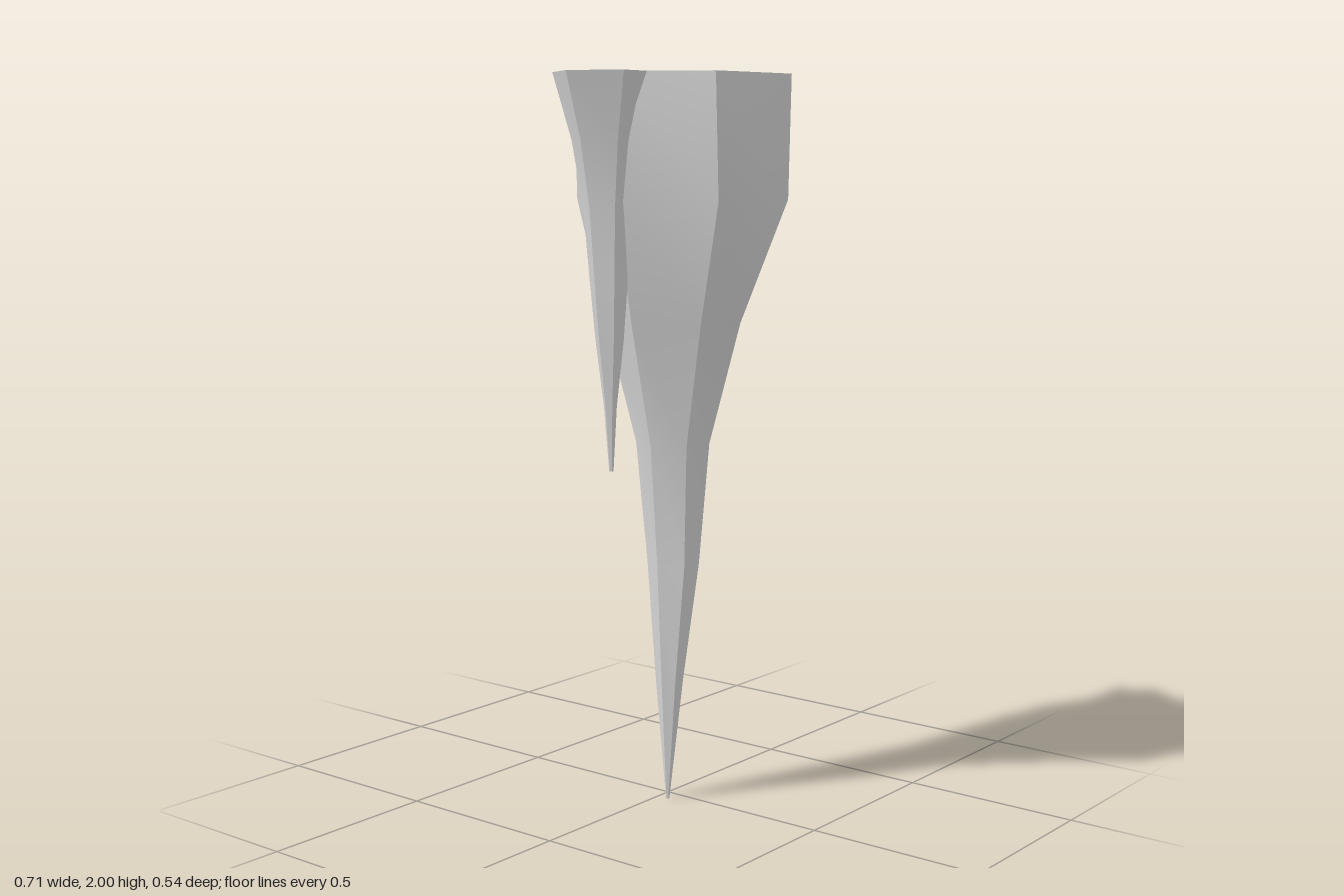
import * as THREE from 'three';
import { toCreasedNormals } from 'three/addons/utils/BufferGeometryUtils.js';

const stone = new THREE.MeshStandardMaterial({ color: 0xd6d6d6 });
stone.name = 'pale grey stone';

// Joins six-sided rings, top to bottom, with a flat cap at each end.
function spike(name, rings) {
  const pos = [];
  const tri = (...pts) => pts.forEach((p) => pos.push(...p));
  const middle = (ring) => [0, 1, 2].map((k) => ring.reduce((s, p) => s + p[k], 0) / ring.length);
  const top = rings[0], bottom = rings[rings.length - 1];
  const topCentre = middle(top), bottomCentre = middle(bottom);
  for (let i = 0; i < top.length; i++) {
    const j = (i + 1) % top.length;
    tri(topCentre, top[j], top[i]);
    for (let r = 0; r < rings.length - 1; r++) {
      const a = rings[r], b = rings[r + 1];
      tri(a[i], a[j], b[i]);
      tri(a[j], b[j], b[i]);
    }
    tri(bottomCentre, bottom[i], bottom[j]);
  }
  const geometry = new THREE.BufferGeometry();
  geometry.setAttribute('position', new THREE.Float32BufferAttribute(pos, 3));
  const mesh = new THREE.Mesh(toCreasedNormals(geometry, 0.5), stone);
  mesh.name = name;
  return mesh;
}

// Evenly spaced rings that shrink a top outline by each scale down to the tip.
function taper(outline, centre, tip, scales) {
  return scales.map((s, r) => {
    const t = r / (scales.length - 1);
    const cx = centre[0] + (tip[0] - centre[0]) * t;
    const cz = centre[1] + (tip[2] - centre[1]) * t;
    return outline.map(([x, z]) => [
      cx + (x - centre[0]) * s, 2 + (tip[1] - 2) * t, cz + (z - centre[1]) * s,
    ]);
  });
}

export function createModel() {
  const group = new THREE.Group();
  group.name = 'stalactite';

  // Main spike: corners [x, z] of each ring, from right through front, left and back
  const levels = [
    [2.0, [[0.336, 0], [0.19, 0.27], [-0.105, 0.24], [-0.245, 0], [-0.105, -0.243], [0.2, -0.253]]],
    [1.667, [[0.346, 0], [0.183, 0.267], [-0.122, 0.263], [-0.222, 0], [-0.105, -0.235], [0.19, -0.24]]],
    [1.333, [[0.21, 0], [0.115, 0.16], [-0.07, 0.165], [-0.162, 0.005], [-0.07, -0.165], [0.115, -0.17]]],
    [1.0, [[0.127, 0.003], [0.062, 0.095], [-0.036, 0.092], [-0.083, 0.005], [-0.036, -0.085], [0.065, -0.09]]],
    [0.667, [[0.064, 0.012], [0.036, 0.08], [-0.036, 0.085], [-0.067, 0.015], [-0.036, -0.045], [0.03, -0.05]]],
    [0.333, [[0.02, 0.02], [0.003, 0.05], [-0.038, 0.055], [-0.057, 0.022], [-0.04, -0.012], [0, -0.012]]],
    [0, [[-0.038, 0.032], [-0.04, 0.036], [-0.045, 0.036], [-0.048, 0.032], [-0.045, 0.028], [-0.04, 0.028]]],
  ];
  group.add(spike('mainSpike', levels.map(([y, pts]) => pts.map(([x, z]) => [x, y, z]))));

  // Side spikes grown into the main one
  group.add(spike('rightSpike', taper(
    [[-0.07, -0.05], [-0.13, 0.085], [-0.288, 0.086], [-0.357, -0.05], [-0.278, -0.167], [-0.13, -0.188]],
    [-0.21, -0.05], [-0.208, 0.945, -0.03], [1, 0.65, 0.45, 0.36, 0.26, 0.12, 0.04])));

  group.add(spike('backLeftSpike', taper(
    [[0.357, -0.155], [0.297, -0.055], [0.17, -0.052], [0.11, -0.16], [0.167, -0.262], [0.297, -0.272]],
    [0.235, -0.16], [0.24, 1.325, -0.15], [1, 0.7, 0.42, 0.36, 0.27, 0.14, 0.04])));

  return group;
}
